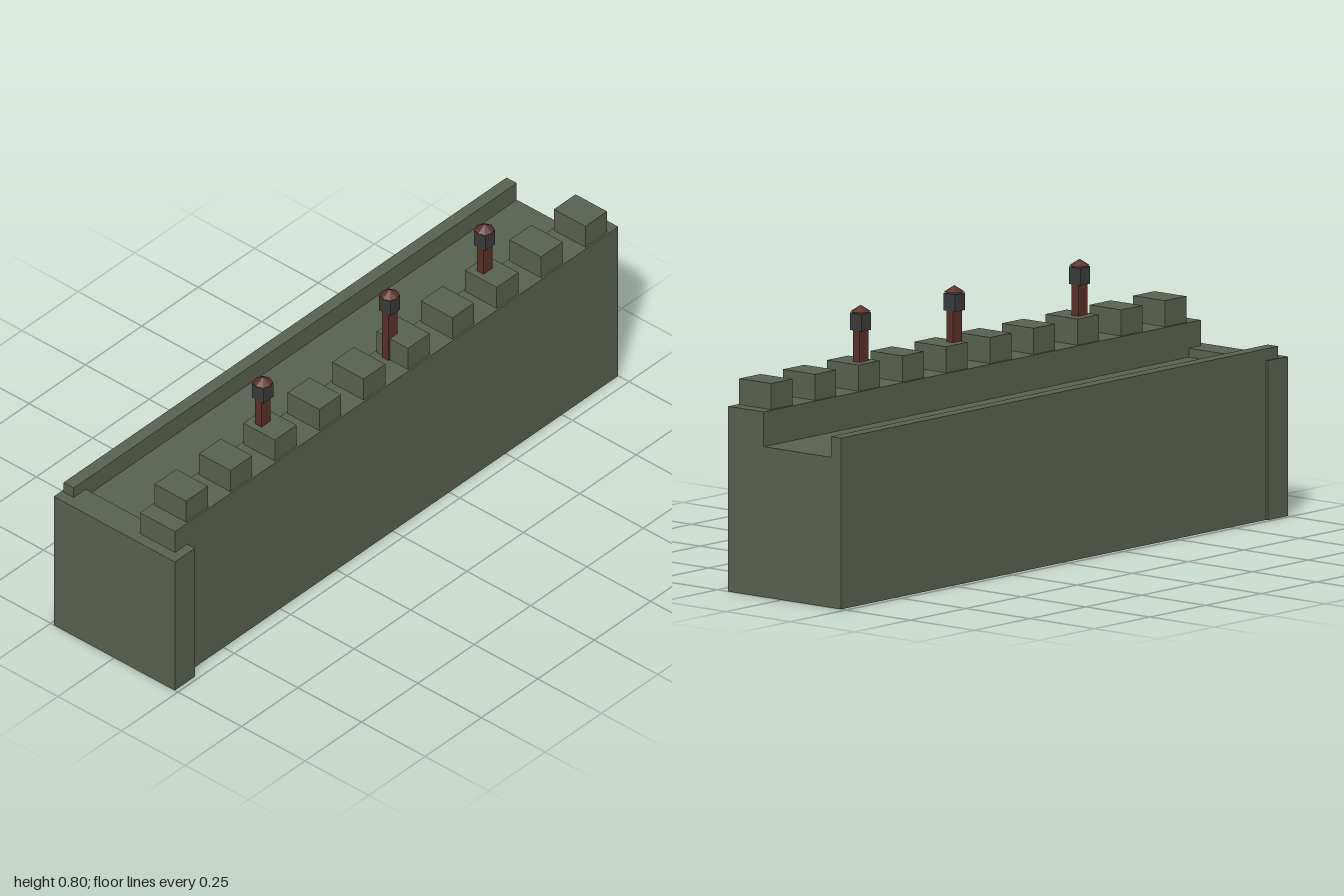
import * as THREE from 'three';

export function createModel() {
  const model = new THREE.Group();
  const material = (name, color) => Object.assign(new THREE.MeshStandardMaterial({ color }), { name });
  const stone = material('grey green stone', 0x5a6352);
  const redWood = material('dark red wood', 0x5c3129);
  const iron = material('dark iron', 0x3a3b3a);

  // Box given by its minimum and maximum corners
  function box(name, mat, [x0, y0, z0], [x1, y1, z1], parent = model) {
    const mesh = new THREE.Mesh(new THREE.BoxGeometry(x1 - x0, y1 - y0, z1 - z0), mat);
    mesh.position.set((x0 + x1) / 2, (y0 + y1) / 2, (z0 + z1) / 2);
    mesh.name = name;
    parent.add(mesh);
    return mesh;
  }

  // Wall body, end pier, low kerb and tall parapet
  box('wallBody', stone, [-0.231, 0, -1], [0.208, 0.45, 0.911]);
  box('endPier', stone, [-0.238, 0, 0.911], [0.238, 0.477, 1]);
  box('innerKerb', stone, [-0.231, 0.45, -1], [-0.191, 0.512, 0.965]);
  box('parapet', stone, [0.07, 0.45, -1], [0.208, 0.554, 0.965]);

  // Row of merlons along the parapet
  const merlons = new THREE.Group();
  merlons.name = 'merlons';
  model.add(merlons);
  for (let i = 0; i < 10; i++) {
    const z = 0.861 - i * 0.1967;
    box('merlon', stone, [0.078, 0.554, z - 0.048], [0.202, 0.632, z + 0.048], merlons);
  }

  // Lanterns on posts with small eight-sided roofs
  for (const z of [0.475, -0.088, -0.509]) {
    const lantern = new THREE.Group();
    lantern.name = 'lantern';
    lantern.position.set(0.118, 0, z);
    box('post', redWood, [-0.013, 0.554, -0.02], [0.013, 0.727, 0.02], lantern);
    box('lampHousing', iron, [-0.022, 0.725, -0.022], [0.022, 0.777, 0.022], lantern);
    const roof = new THREE.Mesh(new THREE.ConeGeometry(0.03, 0.019, 8).toNonIndexed(), redWood);
    roof.geometry.computeVertexNormals();
    roof.position.y = 0.7905;
    roof.name = 'lanternRoof';
    lantern.add(roof);
    model.add(lantern);
  }
  return model;
}
